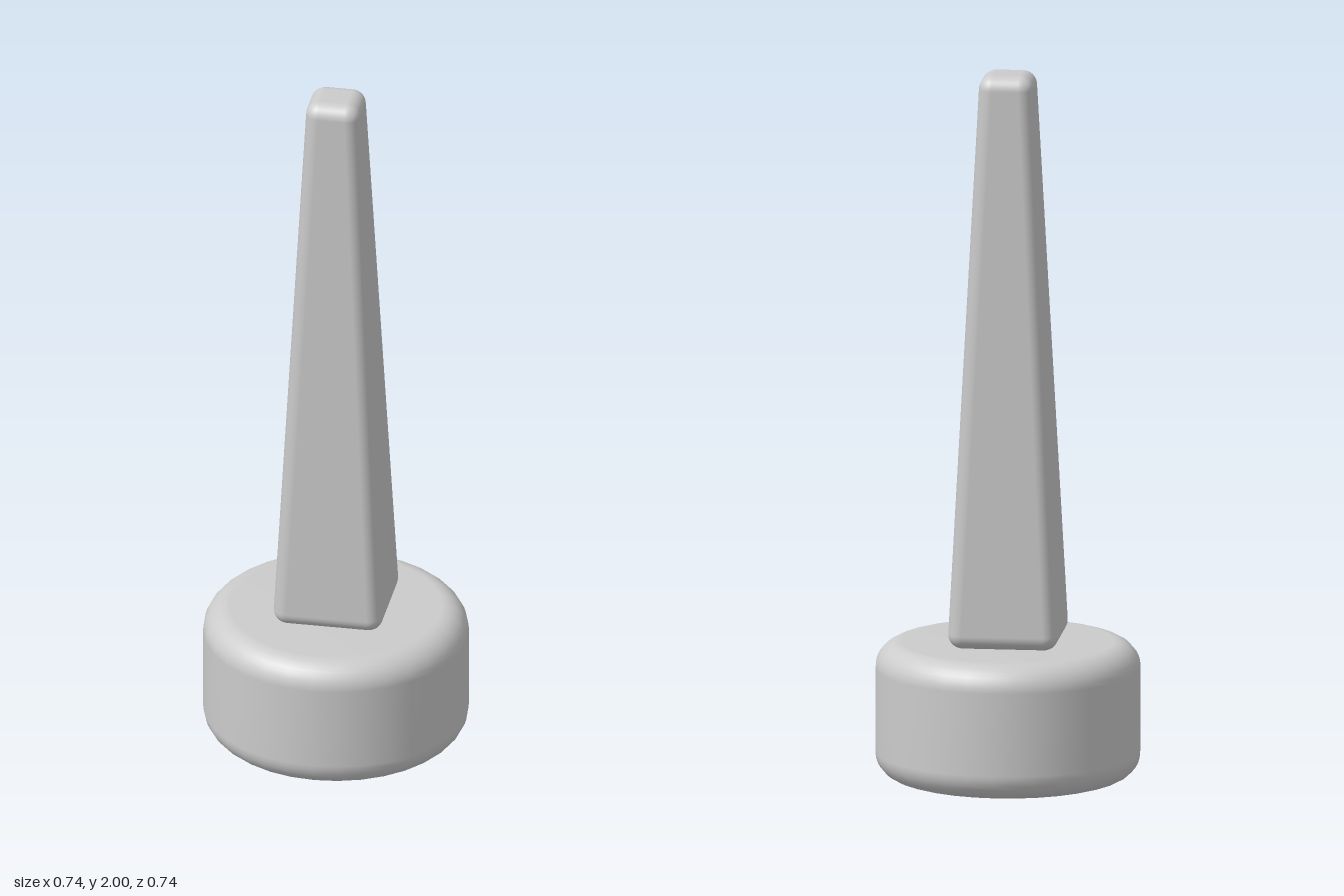
import * as THREE from 'three';
import { RoundedBoxGeometry } from 'three/addons/geometries/RoundedBoxGeometry.js';

const BASE_RADIUS = 0.37, BASE_HEIGHT = 0.385, BASE_ROUND = 0.075;
const FOOT_HALF = 0.154, TIP_HALF = 0.077, SPIRE_ROUND = 0.04;
const TOTAL_HEIGHT = 2;

// Round drum with softened rims
function createBase(material) {
  const profile = [new THREE.Vector2(0, 0)];
  const steps = 8, inner = BASE_RADIUS - BASE_ROUND;
  const addRim = (centreY, start) => {
    for (let i = 0; i <= steps; i++) {
      const a = start + (i / steps) * Math.PI / 2;
      profile.push(new THREE.Vector2(inner + Math.cos(a) * BASE_ROUND, centreY + Math.sin(a) * BASE_ROUND));
    }
  };
  addRim(BASE_ROUND, -Math.PI / 2);
  addRim(BASE_HEIGHT - BASE_ROUND, 0);
  profile.push(new THREE.Vector2(0, BASE_HEIGHT));
  const base = new THREE.Mesh(new THREE.LatheGeometry(profile, 32), material);
  base.name = 'base';
  return base;
}

// Square spire: the upper corners move inwards, keeping their rounding
function createSpire(material) {
  const height = TOTAL_HEIGHT - BASE_HEIGHT;
  const geometry = new RoundedBoxGeometry(FOOT_HALF * 2, height, FOOT_HALF * 2, 5, SPIRE_ROUND);
  const p = geometry.attributes.position;
  const inset = FOOT_HALF - TIP_HALF;
  for (let i = 0; i < p.count; i++) {
    if (p.getY(i) > 0) {
      p.setX(i, p.getX(i) - Math.sign(p.getX(i)) * inset);
      p.setZ(i, p.getZ(i) - Math.sign(p.getZ(i)) * inset);
    }
  }
  const spire = new THREE.Mesh(geometry, material);
  spire.name = 'spire';
  spire.position.y = BASE_HEIGHT + height / 2;
  return spire;
}

export function createModel() {
  const material = new THREE.MeshStandardMaterial({ color: 0xcccccc });
  const model = new THREE.Group();
  model.name = 'spireOnBase';
  model.add(createBase(material), createSpire(material));
  return model;
}
